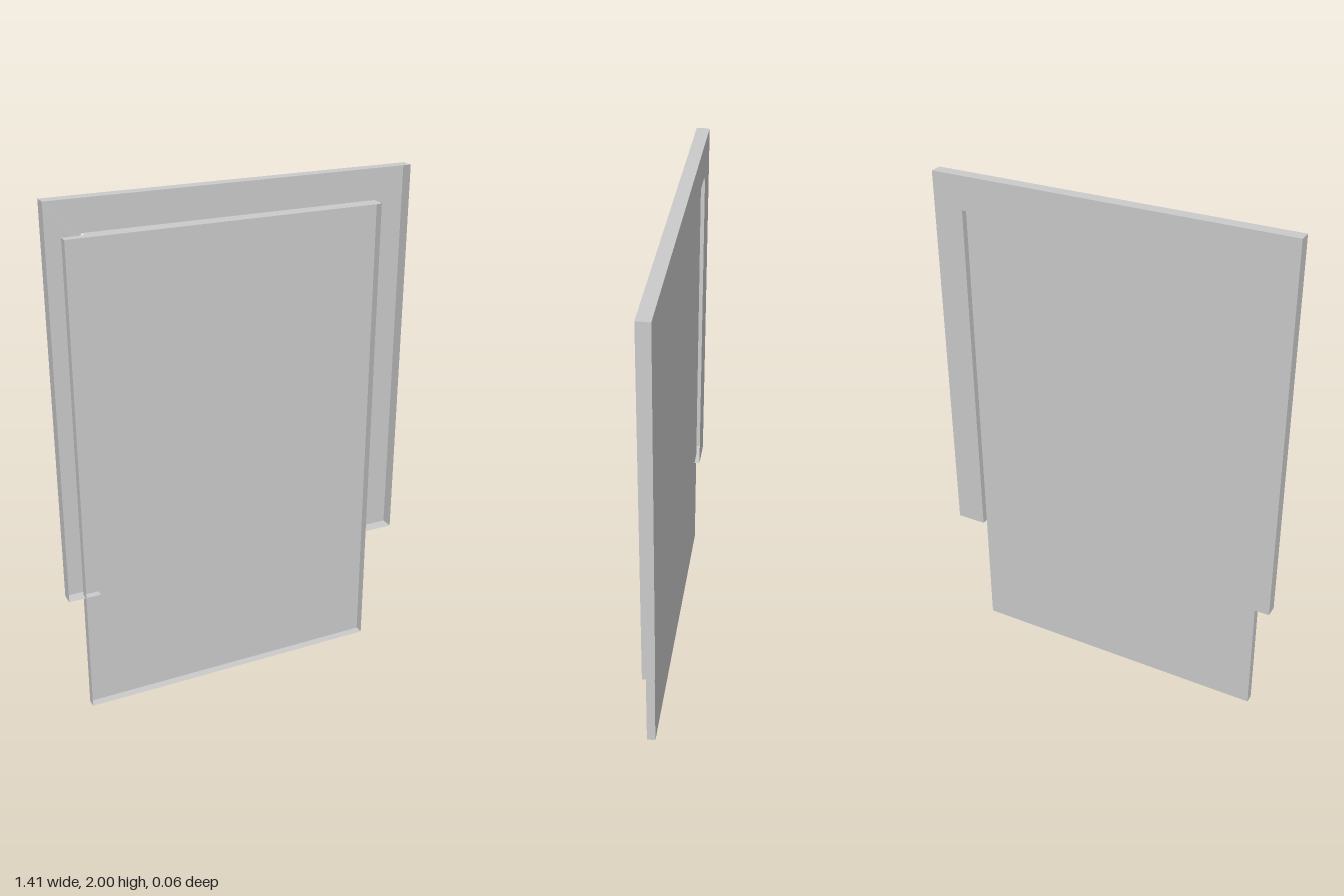
import * as THREE from 'three';

const material = new THREE.MeshStandardMaterial({ color: 0xcccccc, side: THREE.DoubleSide, flatShading: true });

// flat sheet from an outline, at depth z
function sheet(name, points, z) {
  const shape = new THREE.Shape(points.map(([x, y]) => new THREE.Vector2(x, y)));
  const mesh = new THREE.Mesh(new THREE.ShapeGeometry(shape), material);
  // turn the sheet to face backwards without mirroring its outline
  const index = mesh.geometry.index;
  for (let i = 0; i < index.count; i += 3) {
    const a = index.getX(i);
    index.setX(i, index.getX(i + 1));
    index.setX(i + 1, a);
  }
  mesh.geometry.computeVertexNormals();
  mesh.position.z = z;
  mesh.name = name;
  return mesh;
}

// thin rim following a path, from depth z0 to z1
function rim(name, path, z0, z1) {
  const pos = [];
  for (let i = 0; i < path.length - 1; i++) {
    const [ax, ay] = path[i], [bx, by] = path[i + 1];
    pos.push(ax, ay, z0, bx, by, z0, bx, by, z1, ax, ay, z0, bx, by, z1, ax, ay, z1);
  }
  const geometry = new THREE.BufferGeometry();
  geometry.setAttribute('position', new THREE.Float32BufferAttribute(pos, 3));
  geometry.computeVertexNormals();
  const mesh = new THREE.Mesh(geometry, material);
  mesh.name = name;
  return mesh;
}

export function createModel() {
  const model = new THREE.Group();
  model.name = 'slidingPanel';

  // surrounding frame: an upside-down U, open at the front
  const frame = new THREE.Group();
  frame.name = 'frame';
  const W = 0.705, H = 0.585, bottom = 0.49, top = 2, holeTop = 1.87;
  const outer = [[-0.58, bottom], [-W, bottom], [-W, top], [W, top], [W, bottom], [H, bottom]];
  const inner = [[H, bottom], [H, holeTop], [-0.56, holeTop]];
  const corner = [[-0.58, holeTop - 0.03]];
  const backZ = -0.025, frontZ = 0.024;
  frame.add(
    sheet('frameBack', [...outer, ...inner, ...corner].reverse(), backZ),
    rim('frameOuterRim', [...outer].reverse(), backZ, frontZ),
    rim('frameInnerRim', [...inner].reverse(), backZ, frontZ)
  );

  // sliding panel: a shallow tray, open at the front
  const panel = new THREE.Group();
  panel.name = 'panel';
  const outline = [[-0.64, 0], [0.583, 0], [0.583, 1.868], [-0.64, 1.868]];
  panel.add(
    sheet('panelBack', outline, -0.003),
    rim('panelRim', [...outline, outline[0]], -0.003, 0.031)
  );

  // both lean back very slightly
  model.add(frame, panel);
  for (const part of model.children) part.rotation.x = -0.003;
  return model;
}
